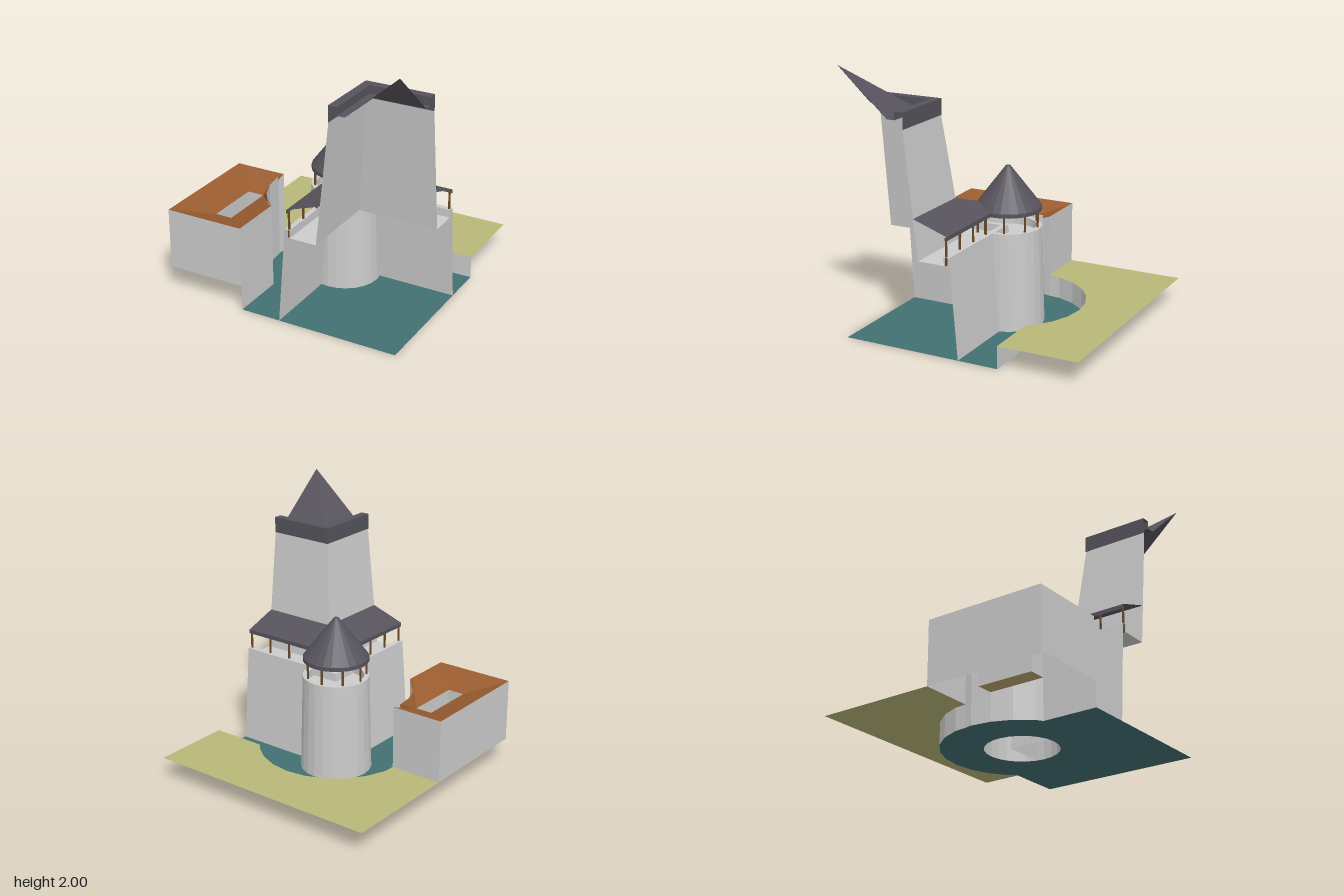
import * as THREE from 'three';

const CX = 0.055, CZ = 0.06;   // tower axis
const E = 0.92;                // half width of the tile
const mat = (color) => new THREE.MeshStandardMaterial({ color, flatShading: true, side: THREE.DoubleSide });

// Surface through rows of [x, y, z] points of equal length
function loft(rows, closed = false) {
  const out = [];
  const a = new THREE.Vector3(), b = new THREE.Vector3(), c = new THREE.Vector3();
  const tri = (p, q, r) => {
    a.set(...p); b.set(...q).sub(a); c.set(...r).sub(a);
    if (b.cross(c).length() > 1e-7) out.push(...p, ...q, ...r);
  };
  for (let i = 0; i < rows.length - 1; i++) {
    const n = rows[i].length;
    for (let j = 0; j < (closed ? n : n - 1); j++) {
      const k = (j + 1) % n;
      tri(rows[i][j], rows[i + 1][j], rows[i + 1][k]);
      tri(rows[i][j], rows[i + 1][k], rows[i][k]);
    }
  }
  const g = new THREE.BufferGeometry();
  g.setAttribute('position', new THREE.Float32BufferAttribute(out, 3));
  g.computeVertexNormals();
  return g;
}

// Profile of [distance, y] swept along both wings, mitred at the corner
const wings = (profile) => loft(profile.map(([d, y]) => [[E, y, d], [d, y, d], [d, y, E]]));

// Horizontal face from [x, z] outline
function flat(outline, y, hole) {
  const s = new THREE.Shape(outline.map(([x, z]) => new THREE.Vector2(x, -z)));
  if (hole) s.holes.push(new THREE.Path(hole.map(([x, z]) => new THREE.Vector2(x, -z))));
  return new THREE.ShapeGeometry(s).rotateX(-Math.PI / 2).translate(0, y, 0);
}

function lathe(points, start = 0, length = Math.PI * 2) {
  const g = new THREE.LatheGeometry(points.map(([r, y]) => new THREE.Vector2(r, y)), 24, start, length);
  return g.translate(CX, 0, CZ);
}

export function createModel() {
  const model = new THREE.Group();
  const stone = mat(0xcccccc), slate = mat(0x56535c), grass = mat(0xb8b878), water = mat(0x437072);
  const tiles = mat(0x9a5c30), earth = mat(0xbca46c), wood = mat(0x6b4a28);
  const add = (name, geometry, material, parent = model) => {
    const m = new THREE.Mesh(geometry, material);
    m.name = name;
    parent.add(m);
    return m;
  };
  const at = (pts, y) => pts.map(([x, z]) => [x, y, z]);

  // Moat edge: straight, round the tower, straight
  const arc = (from, to) => {
    const pts = [];
    for (let d = from; d <= to; d += 15) {
      const t = THREE.MathUtils.degToRad(d);
      pts.push([CX + 0.582 * Math.cos(t), CZ - 0.582 * Math.sin(t)]);
    }
    return pts;
  };
  const meet = [-0.515, 0];
  const bankEdge = [[E, -0.31], [0.5, -0.31], ...arc(45, 165), meet];
  const houseEdge = [meet, ...arc(180, 225), [-0.31, 0.5], [-0.31, E]];
  const towerFoot = [];
  for (let i = 0; i < 24; i++) {
    const t = (i / 24) * Math.PI * 2;
    towerFoot.push([CX + 0.27 * Math.cos(t), CZ + 0.27 * Math.sin(t)]);
  }

  // Ground
  add('moatFloor', flat([...bankEdge, ...houseEdge.slice(1), [E, E]], 0, towerFoot), water);
  add('moatBank', loft([at(bankEdge, 0), at(bankEdge, 0.17)]), stone);
  add('grass', flat([...bankEdge, [-E, 0], [-E, -E], [E, -E]], 0.17), grass);

  // House with a sunken courtyard
  const house = new THREE.Group();
  house.name = 'house';
  model.add(house);
  const yard = [[-0.68, 0.24], [-0.55, 0.24], [-0.55, 0.67], [-0.68, 0.67]];
  const outline = [...houseEdge, [-E, E], [-E, 0]];
  const n = houseEdge.length;
  const inner = outline.map((p, i) =>
    i < n - 1 ? yard[1] : i === n - 1 ? yard[2] : i === n ? yard[3] : yard[0]);
  add('houseMoatWall', loft([at(houseEdge, 0), at(houseEdge, 0.65)]), stone, house);
  add('houseFrontWall', loft([at([[-0.31, E], [-E, E]], 0.19), at([[-0.31, E], [-E, E]], 0.65)]), stone, house);
  const rearWalls = [[-E, E], [-E, 0], meet];
  add('houseRearWalls', loft([at(rearWalls, 0.17), at(rearWalls, 0.65)]), stone, house);
  add('houseRoof', loft([at(outline, 0.65), at(inner, 0.565)], true), tiles, house);
  add('courtyardWalls', loft([at(yard, 0.565), at(yard, 0.19)], true), stone, house);
  add('courtyardFloor', flat(yard, 0.19), earth, house);

  // Curtain walls with parapet and walkway
  add('curtainWall', wings([[0, 0], [0.055, 0.68], [0.06, 0.74], [0.1, 0.74], [0.1, 0.68], [0.306, 0.68]]), stone);
  add('walkwayRoof', wings([[0.075, 0.86], [0.075, 0.89], [0.34, 0.98]]), slate);

  // Keep
  add('keepWall', wings([[0.306, 0.68], [0.34, 0.98], [0.408, 1.6]]), stone);
  add('keepParapet', wings([[0.408, 1.6], [0.405, 1.6], [0.405, 1.72], [0.47, 1.72], [0.47, 1.66], [0.53, 1.66]]), slate);
  add('keepRoof', wings([[0.53, 1.66], [E, 2]]), slate);

  // Corner tower
  add('towerWall', lathe([[0.27, 0], [0.252, 0.68], [0, 0.68]]), stone);
  const gap = THREE.MathUtils.degToRad(80);
  add('towerParapet', lathe([[0.252, 0.68], [0.25, 0.74], [0.21, 0.74], [0.21, 0.68]],
    gap, Math.PI * 2 - gap + THREE.MathUtils.degToRad(10)), stone);
  add('towerRoof', lathe([[0, 1.19], [0.018, 1.19], [0.247, 0.89], [0.247, 0.86]]), slate);

  // Roof posts
  const post = new THREE.BoxGeometry(0.012, 0.2, 0.012);
  const posts = new THREE.Group();
  posts.name = 'roofPosts';
  model.add(posts);
  const addPost = (x, z) => add('post', post, wood, posts).position.set(x, 0.78, z);
  for (let i = 0; i < 9; i++) {
    const t = Math.PI + (i / 9) * Math.PI * 2;
    addPost(CX + 0.225 * Math.cos(t), CZ + 0.225 * Math.sin(t));
  }
  for (let i = 0; i < 4; i++) {
    const p = 0.345 + i * 0.187;
    addPost(p, 0.088);
    addPost(0.088, p);
  }
  return model;
}
